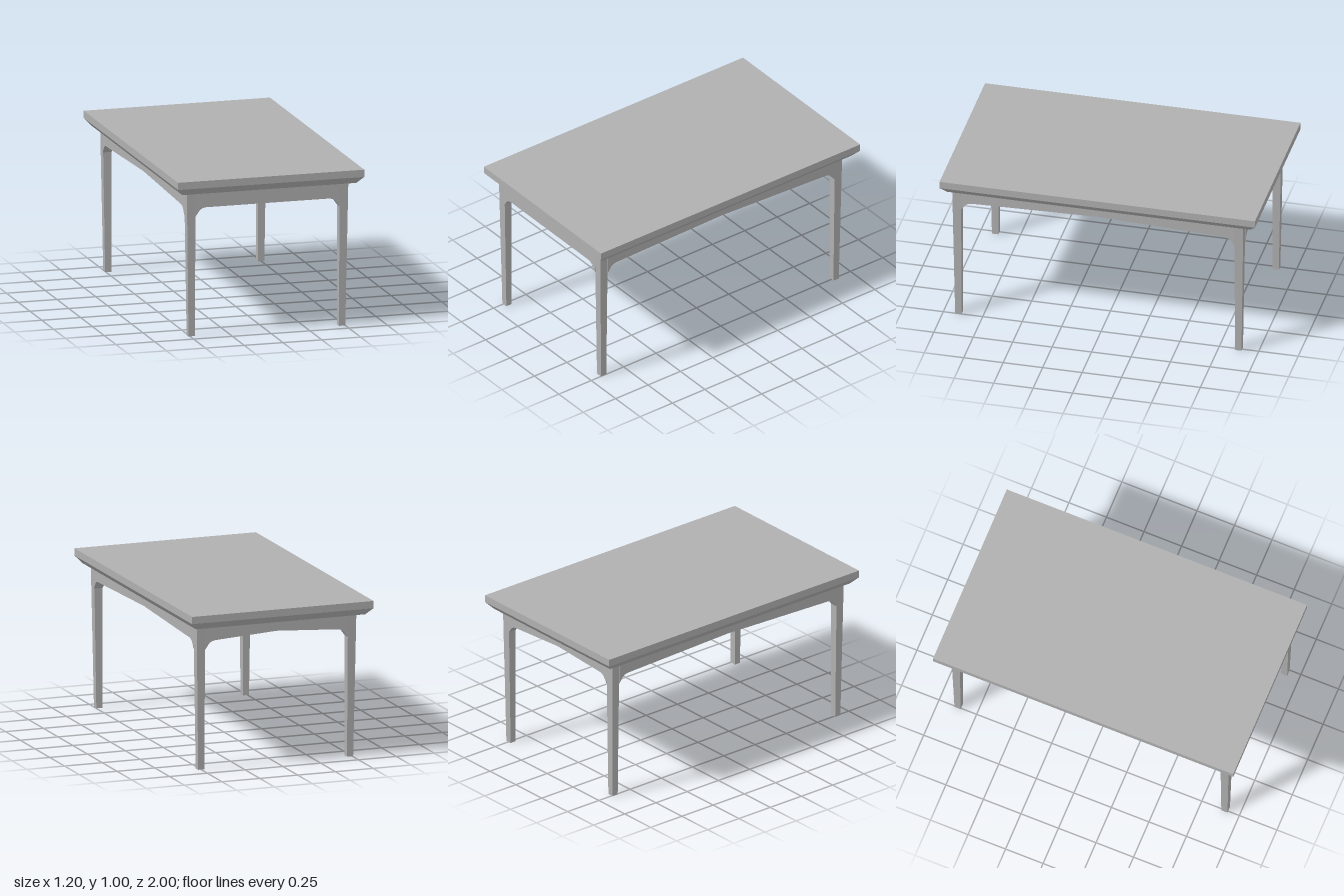
import * as THREE from 'three';

const RAIL_TOP = 0.907, LEG = 0.056;

export function createModel() {
  const table = new THREE.Group();
  table.name = 'table';
  const grey = new THREE.MeshStandardMaterial({ color: 0xb0b0b0 });
  grey.name = 'plain grey';

  const add = (name, geometry, parent = table) => {
    const mesh = new THREE.Mesh(geometry, grey);
    mesh.name = name;
    parent.add(mesh);
    return mesh;
  };

  // Moves each corner of a unit box by a rule: signs in, position out
  const shapedBox = (rule) => {
    const geometry = new THREE.BoxGeometry(2, 2, 2);
    const p = geometry.attributes.position;
    for (let i = 0; i < p.count; i++) p.setXYZ(i, ...rule(p.getX(i), p.getY(i), p.getZ(i)));
    geometry.computeVertexNormals();
    return geometry;
  };

  // Tabletop slab with an undercut edge below it
  add('tabletop', shapedBox((x, y, z) => [x * 0.6, y > 0 ? 0.997 : 0.951, z]));
  add('tabletopUndercut', shapedBox((x, y, z) =>
    y > 0 ? [x * 0.6, 0.951, z] : [x * 0.56, RAIL_TOP, z * 0.96]));

  // Outer corners of the slightly skewed frame, anticlockwise from above
  const corners = [[-0.525, 0.94], [0.515, 0.94], [0.535, -0.91], [-0.521, -0.91]];

  // Legs: upright inner faces, outer faces tapering towards the foot
  corners.forEach(([cx, cz]) => {
    const sx = Math.sign(cx), sz = Math.sign(cz);
    add('leg', shapedBox((x, y, z) => {
      const taper = y > 0 ? 0 : 0.015;
      return [
        cx - sx * (x === sx ? taper : LEG),
        y > 0 ? RAIL_TOP : 0,
        cz - sz * (z === sz ? taper : LEG),
      ];
    }));
  });

  // Extrudes a side profile inwards from the frame's outer face
  const panel = (points, depth) => {
    const shape = new THREE.Shape(points.map(([x, y]) => new THREE.Vector2(x, y)));
    return new THREE.ExtrudeGeometry(shape, { depth, bevelEnabled: false }).translate(0, 0, -depth);
  };

  // Aprons: a thin rail, arched on all sides but the front, with a thick bracket at each leg
  ['front', 'left', 'back', 'right'].forEach((side, i) => {
    const [ax, az] = corners[i], [bx, bz] = corners[(i + 1) % 4];
    const length = Math.hypot(bx - ax, bz - az);
    const apron = new THREE.Group();
    apron.name = side + 'Apron';
    apron.position.set(ax, 0, az);
    apron.rotation.y = Math.atan2(az - bz, bx - ax);
    table.add(apron);

    const end = LEG + 0.066;
    const middle = side === 'front' ? 0.815 : 0.84;
    add('rail', panel([
      [end, 0.815], [length / 2, middle], [length - end, 0.815],
      [length - end, RAIL_TOP], [end, RAIL_TOP],
    ], 0.032), apron);

    const profile = [
      [LEG, 0.76], [LEG + 0.028, 0.799], [LEG + 0.045, 0.81], [end, 0.815], [end, RAIL_TOP], [LEG, RAIL_TOP],
    ];
    add('bracket', panel(profile, LEG), apron);
    add('bracket', panel(profile.map(([x, y]) => [length - x, y]), LEG), apron);
  });

  return table;
}
